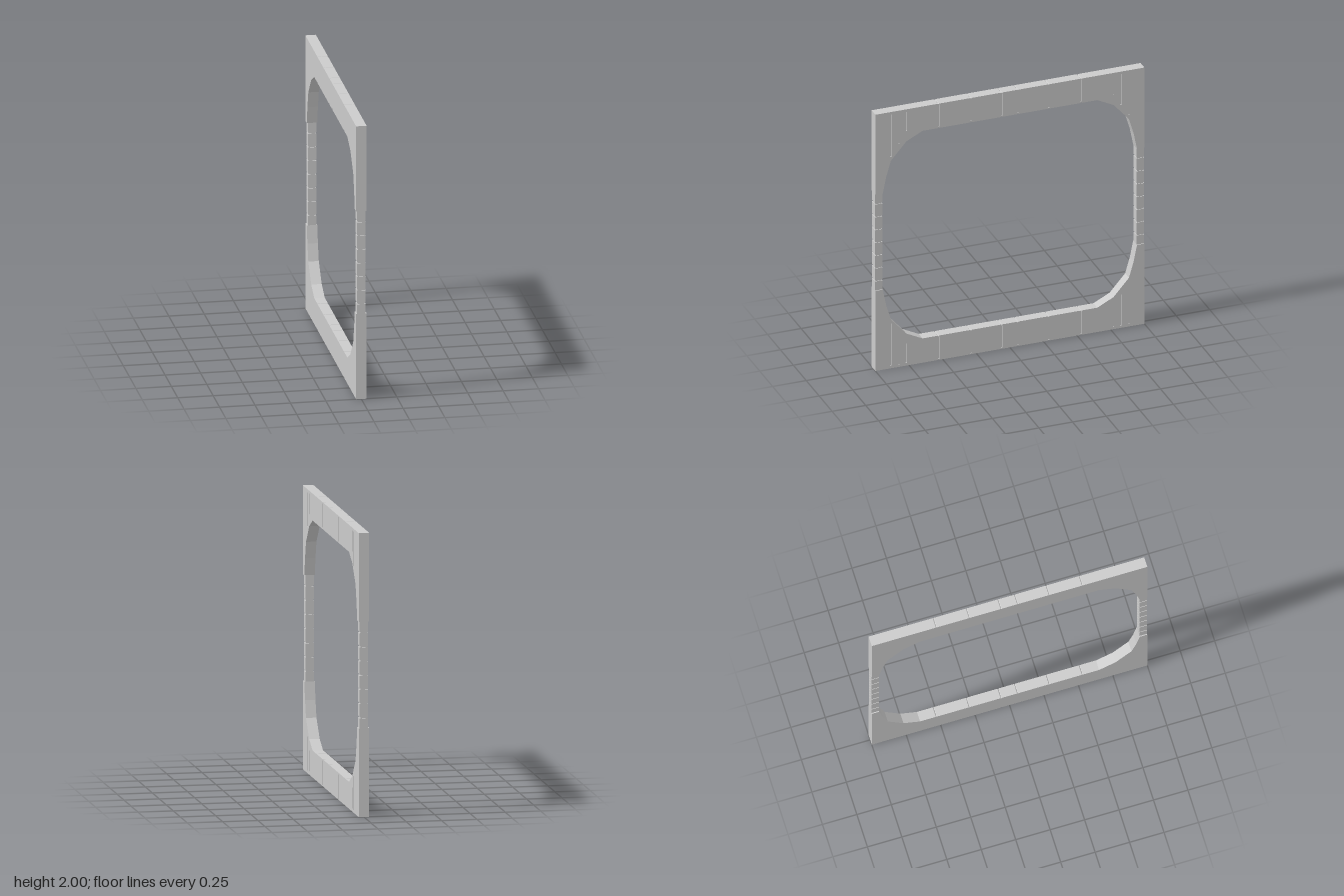
import * as THREE from 'three';

const material = new THREE.MeshStandardMaterial({ color: 0xcccccc, flatShading: true });
const HALF_X = 0.037;   // half thickness of the frame
const FLOOR_X = 0.031;  // depth at which the face grooves end
const SLIT = 0.005;     // half width of a groove
const POST_END = 0.375; // half height of the slim posts
const SEAMS = [-0.53, -0.29, -0.06, 0.06, 0.29, 0.53];
const CORNER_SLITS = [[0.77, 0.83], [0.825, 0.74], [0.885, 0.65]];

// Half of the frame: a bar with two rounded corner legs, notched at each seam
function archShape() {
  const corner = [[0.945, POST_END], [0.92, 0.5], [0.885, 0.62], [0.77, 0.75], [0.65, 0.81]];
  const pts = [[1, POST_END], [1, 1]];
  const notch = (z, y, dy, dir) =>
    pts.push([z - dir * SLIT, y], [z, y + dy], [z + dir * SLIT, y]);
  [...SEAMS].reverse().forEach(z => notch(z, 1, -0.005, -1));
  pts.push([-1, 1], [-1, POST_END]);
  corner.forEach(([z, y]) => pts.push([-z, y]));
  SEAMS.forEach(z => notch(z, 0.81, 0.007, 1));
  [...corner].reverse().forEach(p => pts.push(p));
  return new THREE.Shape(pts.map(([z, y]) => new THREE.Vector2(z, y)));
}

function slitHole(z, y0, y1) {
  return new THREE.Path([[z - SLIT, y0], [z - SLIT, y1], [z + SLIT, y1], [z + SLIT, y0]]
    .map(([a, b]) => new THREE.Vector2(a, b)));
}

// Extrude a side-on shape from x0 to x1
function slab(shape, x0, x1, name) {
  const geo = new THREE.ExtrudeGeometry(shape, { depth: x1 - x0, bevelEnabled: false });
  geo.rotateY(Math.PI / 2).translate(x0, 0, 0);
  const mesh = new THREE.Mesh(geo, material);
  mesh.name = name;
  return mesh;
}

function box(w, h, d, y, name) {
  const mesh = new THREE.Mesh(new THREE.BoxGeometry(w, h, d), material);
  mesh.position.y = y;
  mesh.name = name;
  return mesh;
}

// Bar with corners: solid backing plus a grooved face layer
function arch(name) {
  const group = new THREE.Group();
  group.name = name;
  const face = archShape();
  SEAMS.forEach(z => face.holes.push(slitHole(z, 0.82, 0.992)));
  for (const s of [-1, 1]) {
    CORNER_SLITS.forEach(([z, y]) => face.holes.push(slitHole(s * z, y, 0.98)));
  }
  group.add(slab(archShape(), -HALF_X, FLOOR_X, 'backing'));
  group.add(slab(face, FLOOR_X, HALF_X, 'groovedFace'));
  return group;
}

// Slim post: a core carrying stacked blocks with narrow gaps
function post(name) {
  const group = new THREE.Group();
  group.name = name;
  group.add(box(0.05, 2 * POST_END, 0.045, 0, 'postCore'));
  for (let i = -4; i < 4; i++) {
    const y0 = i === -4 ? -POST_END : i * 0.1 + SLIT;
    const y1 = i === 3 ? POST_END : (i + 1) * 0.1 - SLIT;
    group.add(box(0.06, y1 - y0, 0.055, (y0 + y1) / 2, 'postBlock'));
  }
  return group;
}

export function createModel() {
  const model = new THREE.Group();
  model.name = 'squareFrame';

  const top = arch('topBar');
  const bottom = arch('bottomBar');
  bottom.rotation.x = Math.PI;
  top.position.y = bottom.position.y = 1;
  model.add(top, bottom);

  for (const s of [-1, 1]) {
    const p = post(s > 0 ? 'frontPost' : 'backPost');
    p.position.set(0, 1, s * 0.9725);
    model.add(p);
  }
  return model;
}
